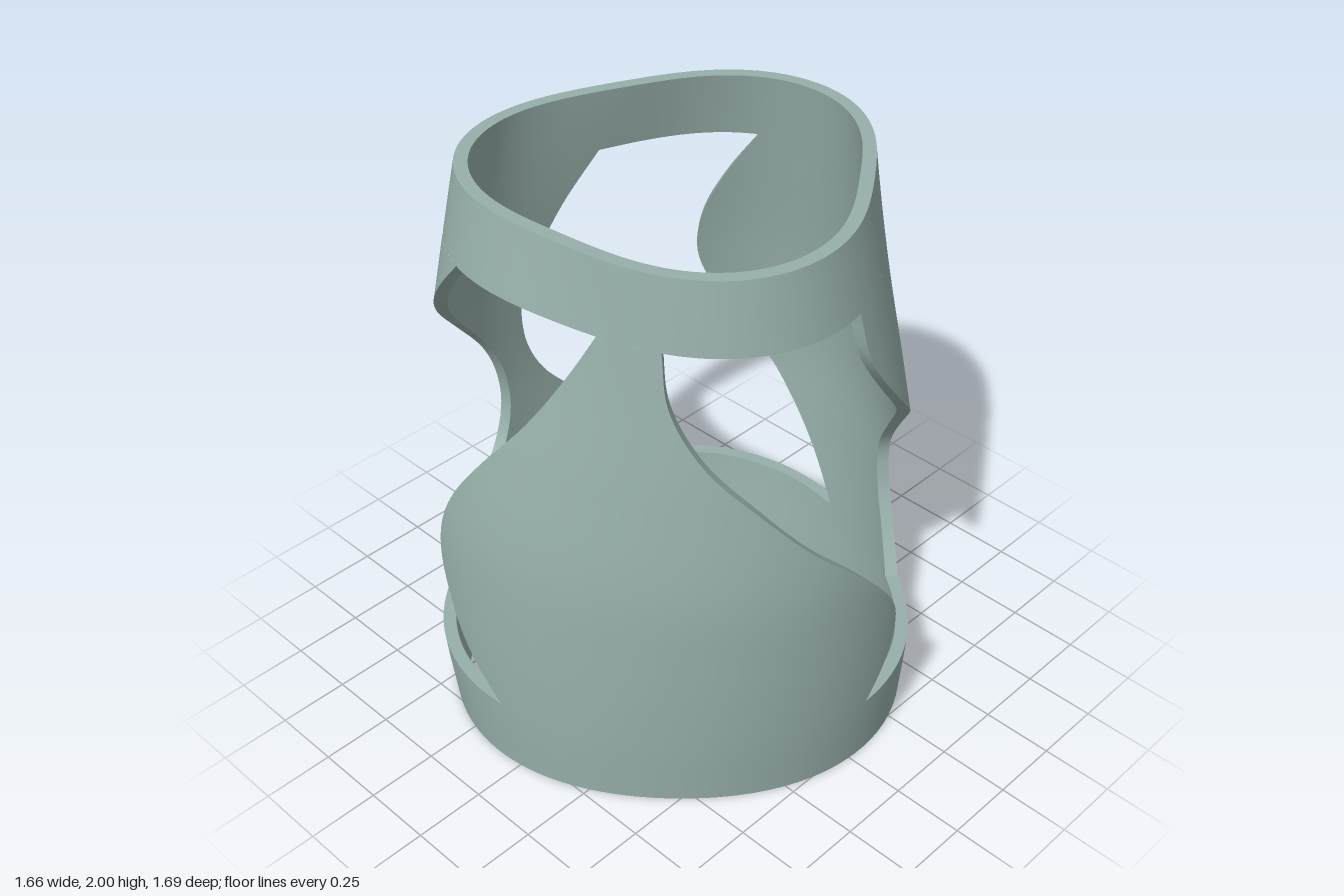
import * as THREE from 'three';
import { mergeGeometries } from 'three/addons/utils/BufferGeometryUtils.js';
import { ParametricGeometry } from 'three/addons/geometries/ParametricGeometry.js';

const WALL = 0.045;
const LOW = 0.272;
const HIGH = 1.762;

// Smooth curve through samples
function curve(xs, values) {
  const interpolant = new THREE.CubicInterpolant(xs, values, 1, [0]);
  return (x) => interpolant.evaluate(x)[0];
}

// Barrel profile: mean radius and centre by height
const meanRadius = curve(
  [0, 0.27, 0.6, 0.9, 1.25, 1.65, 2],
  [0.794, 0.816, 0.829, 0.826, 0.781, 0.709, 0.644],
);
const axisX = curve([0, 1, 2], [-0.038, -0.036, -0.02]);

// Rounded-triangle section, twisting with height
function wallPoint(y, degrees, depth, target) {
  const angle = THREE.MathUtils.degToRad(degrees);
  const twist = THREE.MathUtils.degToRad(-13 + 18.5 * y);
  const r = meanRadius(y) + (0.034 + 0.011 * y) * Math.cos(3 * (angle - twist)) - depth * WALL;
  target.set(axisX(y) + r * Math.cos(angle), y, r * Math.sin(angle));
}

// Curved window edges: angle in degrees at each height
const heights = [LOW, 0.45, 0.6, 0.75, 0.9, 1.05, 1.23, 1.4, 1.58, HIGH];
const edge = (angles) => curve(heights, angles);
const panels = {
  frontPanel: [
    edge([-2, -9, -10, -4, 5, 16, 28, 40, 48, 50]),
    edge([91, 101, 106, 109, 108.5, 104.5, 96, 86, 76.5, 67.5]),
  ],
  rightPanel: [
    edge([145, 158, 167, 171, 170, 165, 154, 142, 130, 118]),
    edge([228, 213, 201, 190, 181.5, 176.5, 175, 179.5, 187, 198]),
  ],
  backPanel: [
    edge([276, 267, 259, 251, 242, 235, 230.5, 232, 238.5, 248]),
    edge([311, 304, 299, 298, 305, 316, 332, 345, 355, 358]),
  ],
};

// Solid piece of wall between two heights and two edge curves
function wallPiece(y0, y1, from, to, rows, columns, part) {
  const at = (h, a, d, target) => {
    const y = THREE.MathUtils.lerp(y0, y1, h);
    wallPoint(y, THREE.MathUtils.lerp(from(y), to(y), a), d, target);
  };
  const faces = [
    new ParametricGeometry((u, v, t) => at(u, v, 0, t), rows, columns),
    new ParametricGeometry((u, v, t) => at(u, 1 - v, 1, t), rows, columns),
  ];
  if (part === 'ring') {
    // Flat rims above and below a ring
    faces.push(new ParametricGeometry((u, v, t) => at(1, v, u, t), 1, columns));
    faces.push(new ParametricGeometry((u, v, t) => at(0, v, 1 - u, t), 1, columns));
  } else {
    // Cut sides of a panel
    faces.push(new ParametricGeometry((u, v, t) => at(u, 1, v, t), rows, 1));
    faces.push(new ParametricGeometry((u, v, t) => at(u, 0, 1 - v, t), rows, 1));
  }
  return mergeGeometries(faces);
}

export function createModel() {
  const group = new THREE.Group();
  group.name = 'twistedSleeve';
  const material = new THREE.MeshStandardMaterial({ color: 0x97afaa });
  material.name = 'greyGreen';

  const add = (name, geometry) => {
    const mesh = new THREE.Mesh(geometry, material);
    mesh.name = name;
    group.add(mesh);
  };

  // Closed rings at both ends
  const start = () => 0;
  const end = () => 360;
  add('bottomRing', wallPiece(0, LOW, start, end, 6, 144, 'ring'));
  add('topRing', wallPiece(HIGH, 2, start, end, 6, 144, 'ring'));

  // Three curved panels leaving the windows between them
  for (const [name, [from, to]] of Object.entries(panels)) {
    add(name, wallPiece(LOW, HIGH, from, to, 72, 48, 'panel'));
  }
  return group;
}
